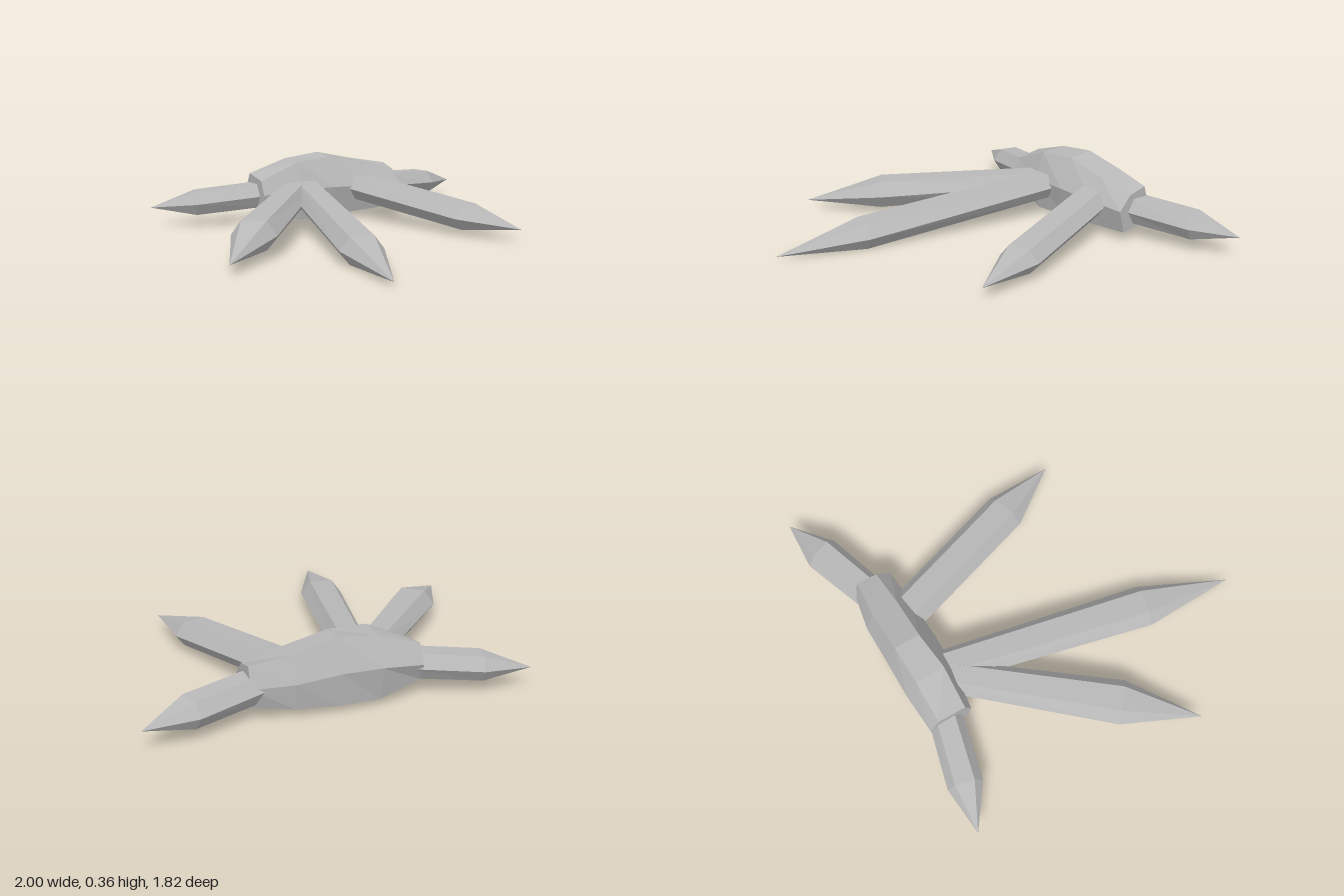
import * as THREE from 'three';

const stone = new THREE.MeshStandardMaterial({ color: 0xb8b8b8, flatShading: true });
stone.name = 'stone grey';

// Skins a list of equal-length rings with flat facets and closes both ends
function loft(name, rings) {
  const pos = [];
  const tri = (a, b, c) => {
    const area = b.clone().sub(a).cross(c.clone().sub(a)).length();
    if (area > 1e-7) for (const p of [a, b, c]) pos.push(p.x, p.y, p.z);
  };
  const n = rings[0].length;
  for (let r = 0; r < rings.length - 1; r++) {
    const lo = rings[r], hi = rings[r + 1];
    for (let i = 0; i < n; i++) {
      const j = (i + 1) % n;
      tri(lo[i], lo[j], hi[j]);
      tri(lo[i], hi[j], hi[i]);
    }
  }
  const first = rings[0], last = rings[rings.length - 1];
  for (let i = 1; i < n - 1; i++) {
    tri(first[0], first[i + 1], first[i]);
    tri(last[0], last[i], last[i + 1]);
  }
  const geometry = new THREE.BufferGeometry();
  geometry.setAttribute('position', new THREE.Float32BufferAttribute(pos, 3));
  geometry.computeVertexNormals();
  const mesh = new THREE.Mesh(geometry, stone);
  mesh.name = name;
  return mesh;
}

// Flattened hexagon: side points plus narrower top and bottom faces
const HEX = [[1, 0], [0.55, 1], [-0.55, 1], [-1, 0], [-0.55, -1], [0.55, -1]];

// Six-sided spike: base, shoulder, then a point
function spike(name, base, shoulder, tip, baseSize, shoulderSize) {
  const [b, s, t] = [base, shoulder, tip].map((p) => new THREE.Vector3(...p));
  const dir = s.clone().sub(b).setY(0).normalize();
  const side = new THREE.Vector3(0, 1, 0).cross(dir);
  const ring = (c, [w, h]) => HEX.map(([u, v]) =>
    c.clone().addScaledVector(side, u * w).add(new THREE.Vector3(0, v * h, 0)));
  return loft(name, [ring(b, baseSize), ring(s, shoulderSize), ring(t, [0, 0])]);
}

export function createModel() {
  const group = new THREE.Group();
  group.name = 'spikedClaw';

  // Palm: x, then [z, y] for back, top back, top front, front, bottom front, bottom back
  const sections = [
    [-0.37, [[-0.84, 0.18], [-0.79, 0.27], [-0.64, 0.245], [-0.61, 0.17], [-0.63, 0.09], [-0.80, 0.09]]],
    [-0.16, [[-0.85, 0.20], [-0.785, 0.338], [-0.63, 0.335], [-0.58, 0.19], [-0.61, 0.02], [-0.82, 0.03]]],
    [0.04, [[-0.845, 0.20], [-0.785, 0.36], [-0.65, 0.345], [-0.57, 0.19], [-0.61, 0.03], [-0.83, 0.035]]],
    [0.26, [[-0.84, 0.18], [-0.79, 0.31], [-0.65, 0.295], [-0.575, 0.18], [-0.61, 0.04], [-0.82, 0.05]]],
    [0.465, [[-0.80, 0.17], [-0.765, 0.272], [-0.66, 0.245], [-0.59, 0.17], [-0.62, 0.05], [-0.77, 0.07]]],
  ];
  group.add(loft('palm', sections.map(([x, pts]) =>
    pts.map(([z, y]) => new THREE.Vector3(x, y, z)))));

  // Three long front fingers
  group.add(spike('outerRightFinger', [-0.16, 0.17, -0.63], [-0.735, 0.11, 0.05], [-1, 0.055, 0.36], [0.085, 0.063], [0.115, 0.072]));
  group.add(spike('middleFinger', [-0.115, 0.172, -0.63], [-0.36, 0.07, 0.44], [-0.46, 0.025, 0.9], [0.09, 0.064], [0.11, 0.068]));
  group.add(spike('leftFinger', [0.23, 0.173, -0.63], [0.468, 0.095, 0.105], [0.572, 0.07, 0.43], [0.105, 0.063], [0.108, 0.062]));

  // Two short side spurs
  group.add(spike('rightSpur', [-0.32, 0.16, -0.735], [-0.675, 0.13, -0.83], [-0.905, 0.11, -0.9], [0.085, 0.065], [0.09, 0.062]));
  group.add(spike('leftSpur', [0.40, 0.155, -0.72], [0.76, 0.13, -0.83], [0.995, 0.11, -0.9], [0.085, 0.068], [0.093, 0.065]));

  return group;
}
